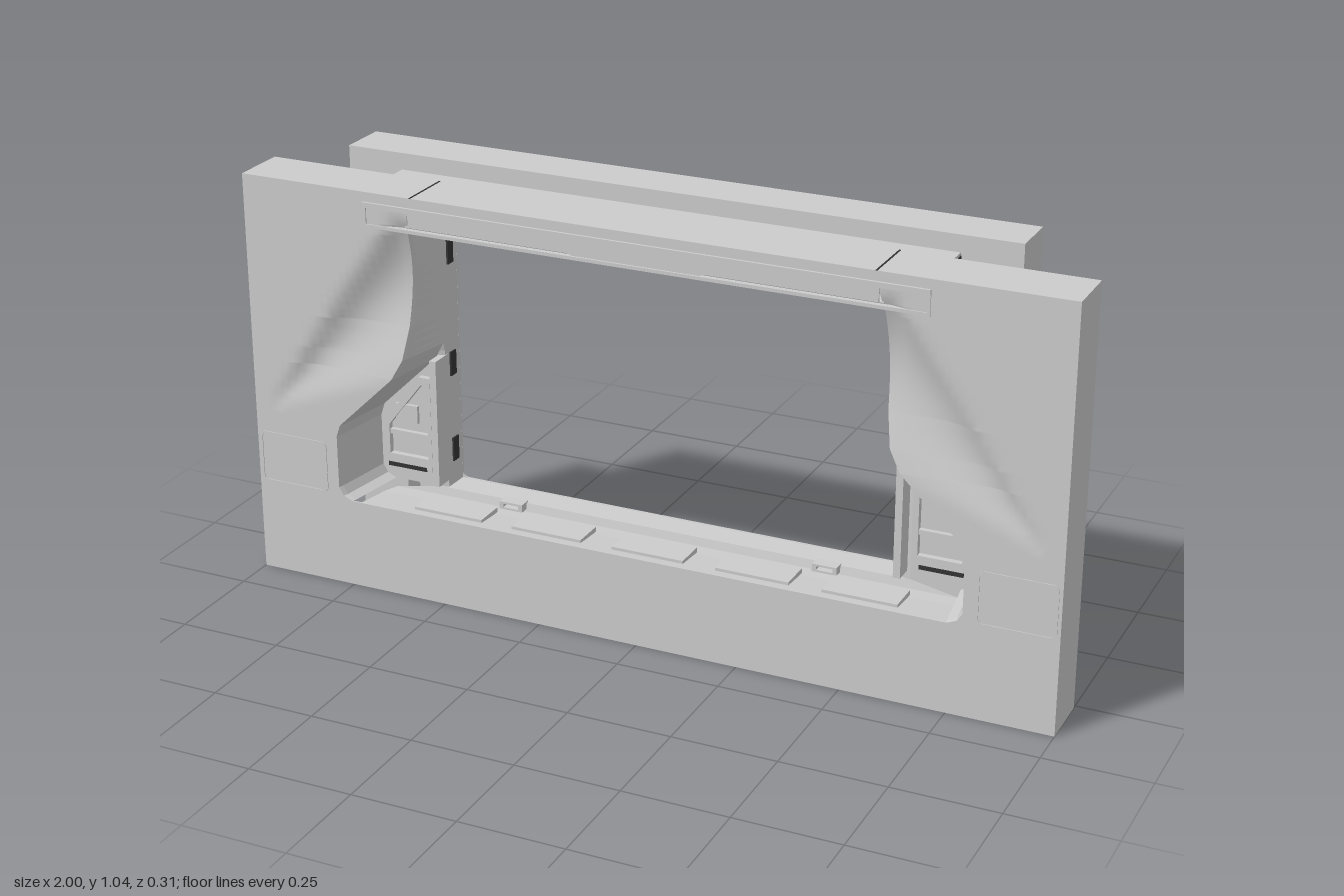
import * as THREE from 'three';

const grey = new THREE.MeshStandardMaterial({ color: 0xcccccc, side: THREE.DoubleSide });
const flat = new THREE.MeshStandardMaterial({ color: 0xcccccc, side: THREE.DoubleSide, flatShading: true });
const dark = new THREE.MeshStandardMaterial({ color: 0x333333 });

function add(parent, name, geometry, material = grey) {
  const mesh = new THREE.Mesh(geometry, material);
  mesh.name = name;
  parent.add(mesh);
  return mesh;
}

// box given by its minimum and maximum corners
function box(parent, name, x0, x1, y0, y1, z0, z1, material = grey) {
  const g = new THREE.BoxGeometry(x1 - x0, y1 - y0, z1 - z0);
  g.translate((x0 + x1) / 2, (y0 + y1) / 2, (z0 + z1) / 2);
  return add(parent, name, g, material);
}

// rounded rectangle outline; r = 0 gives sharp corners
function rect(Type, x0, x1, y0, y1, r = 0) {
  const s = new Type();
  if (!r) {
    s.moveTo(x0, y0); s.lineTo(x1, y0); s.lineTo(x1, y1); s.lineTo(x0, y1); s.closePath();
    return s;
  }
  s.absarc(x1 - r, y0 + r, r, -Math.PI / 2, 0);
  s.absarc(x1 - r, y1 - r, r, 0, Math.PI / 2);
  s.absarc(x0 + r, y1 - r, r, Math.PI / 2, Math.PI);
  s.absarc(x0 + r, y0 + r, r, Math.PI, Math.PI * 1.5);
  s.closePath();
  return s;
}

function extrude(shape, z0, z1) {
  const g = new THREE.ExtrudeGeometry(shape, { depth: z1 - z0, bevelEnabled: false, curveSegments: 6 });
  return g.translate(0, 0, z0);
}

// rectangular ring: outer and inner are [x0, x1, y0, y1, radius]
function ring(parent, name, outer, inner, z0, z1) {
  const s = rect(THREE.Shape, ...outer);
  s.holes.push(rect(THREE.Path, ...inner));
  return add(parent, name, extrude(s, z0, z1));
}

// surface through rows of [x, y, z] points
function loft(rows) {
  const n = rows[0].length, index = [];
  for (let i = 0; i < rows.length - 1; i++)
    for (let j = 0; j < n - 1; j++) {
      const a = i * n + j, b = a + n;
      index.push(a, a + 1, b, b, a + 1, b + 1);
    }
  const g = new THREE.BufferGeometry();
  g.setAttribute('position', new THREE.Float32BufferAttribute(rows.flat(2), 3));
  g.setIndex(index);
  g.computeVertexNormals();
  return g;
}

// half width of the front opening at height y
const outline = [[0.22, 0.745], [0.23, 0.768], [0.25, 0.78], [0.38, 0.78], [0.41, 0.77],
  [0.55, 0.625], [0.6, 0.598], [0.68, 0.585], [0.9, 0.575], [0.93, 0.57], [1, 0.56]];
function openingX(y) {
  let i = 0;
  while (i < outline.length - 2 && y > outline[i + 1][0]) i++;
  const [y0, x0] = outline[i], [y1, x1] = outline[i + 1];
  return x0 + (x1 - x0) * (y - y0) / (y1 - y0);
}

// front skin with a scooped wedge widening towards the opening
function skinZ(x, y) {
  const u = Math.min(1, Math.max(0, (0.97 - x) / 0.37));
  if (u === 0) return 0.15;
  const v = Math.min(1, Math.max(0, (y - 0.42 - 0.13 * u) / (0.4 * u)));
  return 0.15 - 0.04 * u * Math.sin(Math.PI * Math.pow(v, 1.3));
}

function rowHeights() {
  const ys = outline.map(p => p[0]);
  for (let i = 0; i <= 36; i++) ys.push(0.235 + i * 0.021);
  return ys.filter(y => y <= 1).sort((a, b) => a - b);
}

function createSide() {
  const side = new THREE.Group();
  const ys = rowHeights();

  // sculpted front skin
  add(side, 'sculptedFrontPanel', loft(ys.map(y => {
    const xi = openingX(y), row = [];
    for (let j = 0; j <= 24; j++) {
      const x = 1 + (xi - 1) * j / 24;
      row.push([x, y, skinZ(x, y)]);
    }
    return row;
  })));

  // lining from the front edge through the pocket to the rear hole
  add(side, 'openingLining', loft(ys.filter(y => y <= 0.935).map(y => {
    const xi = openingX(y), z = skinZ(xi, y), back = Math.max(0.578, xi - 0.025);
    return [[xi, y, z], [xi - 0.004, y, z - 0.012], [back, y, -0.015],
      [Math.min(back, 0.6), y, -0.015], [0.577, y, -0.02], [0.575, y, -0.09]];
  })), flat);

  // raised frame and fittings on the pocket's back wall
  const frame = new THREE.Shape([[0.61, 0.25], [0.74, 0.25], [0.74, 0.37], [0.64, 0.5], [0.61, 0.5]]
    .map(p => new THREE.Vector2(...p)));
  frame.holes.push(new THREE.Path([[0.62, 0.29], [0.62, 0.48], [0.635, 0.48], [0.725, 0.365], [0.725, 0.29]]
    .map(p => new THREE.Vector2(...p))));
  add(side, 'pocketFrame', extrude(frame, -0.015, 0));
  box(side, 'pocketRib', 0.62, 0.725, 0.34, 0.352, -0.015, -0.003);
  box(side, 'pocketPad', 0.65, 0.71, 0.375, 0.42, -0.015, -0.006);
  box(side, 'pocketSlot', 0.625, 0.73, 0.258, 0.268, -0.002, 0.002, dark);
  box(side, 'pocketBracket', 0.68, 0.75, 0.24, 0.4, -0.026, -0.016);

  // pillar trim with dark slots facing the opening
  box(side, 'pillarTrim', 0.575, 0.592, 0.24, 0.56, -0.03, 0.03);
  for (const y of [0.28, 0.5, 0.78])
    box(side, 'pillarSlot', 0.572, 0.577, y, y + 0.06, -0.065, -0.04, dark);

  // rectangular cover on the front face
  ring(side, 'accessCoverSeam', [0.81, 0.992, 0.23, 0.36, 0.015], [0.815, 0.987, 0.235, 0.355, 0.012], 0.149, 0.152);
  // seam between header and side on the top
  box(side, 'topSeam', 0.556, 0.56, 0.998, 1.001, 0.01, 0.15, dark);
  return side;
}

export function createModel() {
  const model = new THREE.Group();
  model.name = 'framedOpening';

  // front shell, open at the back
  const front = new THREE.Group();
  front.name = 'frontShell';
  model.add(front);
  const t = 0.005;
  ring(front, 'frontShellWalls', [-1, 1, 0, 1], [-1 + t, 1 - t, t, 1 - t], 0.01, 0.15);
  box(front, 'lowerFrontPanel', -1, 1, 0, 0.22, 0.146, 0.15);
  for (const s of [1, -1]) {
    const side = createSide();
    side.name = s > 0 ? 'leftSide' : 'rightSide';
    side.scale.x = s;
    front.add(side);
  }

  // header: front face, sloping underside, central bulge and visor bar
  box(front, 'headerFace', -0.565, 0.565, 0.93, 1, 0.145, 0.15);
  const under = [[0.93, 0.148], [0.935, 0.07], [0.9, 0.03], [0.885, -0.03], [0.865, -0.09]];
  add(front, 'headerUnderside', loft(under.map(([y, z]) => [[-0.575, y, z], [0.575, y, z]])), flat);
  const bulge = new THREE.Shape([[-0.19, 0.94], [-0.13, 0.915], [0.13, 0.915], [0.19, 0.94]]
    .map(p => new THREE.Vector2(...p)));
  add(front, 'headerBulge', extrude(bulge, 0.05, 0.148), flat);
  box(front, 'bulgeSlot', -0.04, 0.04, 0.913, 0.916, 0.08, 0.11, dark);
  ring(front, 'visorBar', [-0.68, 0.68, 0.917, 0.977], [-0.672, 0.672, 0.925, 0.965], 0.14, 0.153);
  box(front, 'visorLip', -0.68, 0.68, 0.965, 0.977, 0.14, 0.156);
  for (const x of [-0.31, 0.31])
    ring(front, 'headerClip', [x - 0.08, x + 0.08, 0.89, 0.92], [x - 0.07, x + 0.07, 0.897, 0.913], 0.02, 0.035);

  // sill: shallow trough across the opening
  const sill = [[0.22, 0.15, 0.745], [0.203, 0.135, 0.745], [0.195, 0.02, 0.735], [0.195, -0.02, 0.72],
    [0.215, -0.025, 0.6], [0.22, -0.09, 0.575]];
  add(front, 'sill', loft(sill.map(([y, z, x]) => [[-x, y, z], [x, y, z]])), flat);
  for (let i = -2; i <= 2; i++)
    box(front, 'sillPad', i * 0.26 - 0.09, i * 0.26 + 0.09, 0.195, 0.207, 0.01, 0.09);
  for (const x of [-0.4, 0.4])
    ring(front, 'sillCatch', [x - 0.03, x + 0.03, 0.2, 0.219], [x - 0.02, x + 0.02, 0.205, 0.214], -0.03, 0);

  // link between the two shells
  box(model, 'headerLink', -0.68, 0.68, 0.905, 1, -0.03, 0.01);
  for (const s of [-1, 1])
    box(model, 'linkGroove', s * 0.68 - 0.002, s * 0.68 + 0.002, 0.975, 0.993, -0.03, 0.01, dark);

  // rear shell: outer walls, inner rim and recessed panel with the hole
  const rear = new THREE.Group();
  rear.name = 'rearShell';
  model.add(rear);
  const hole = [-0.575, 0.575, 0.22, 0.865, 0.015];
  const rim = [-0.7, 0.7, 0.06, 0.975];
  const rimInside = [-0.696, 0.696, 0.064, 0.971];
  ring(rear, 'rearShellWalls', [-0.82, 0.82, 0.005, 1.04], [-0.816, 0.816, 0.009, 1.036], -0.152, -0.03);
  ring(rear, 'rearFlange', [-0.82, 0.82, 0.005, 1.04], rimInside, -0.034, -0.03);
  ring(rear, 'innerRim', rim, rimInside, -0.152, -0.03);
  ring(rear, 'recessedPanel', rim, hole, -0.09, -0.085);
  ring(rear, 'holeBezel', [-0.61, 0.61, 0.168, 0.9, 0.05], [-0.6, 0.6, 0.178, 0.89, 0.042], -0.096, -0.088);
  return model;
}
